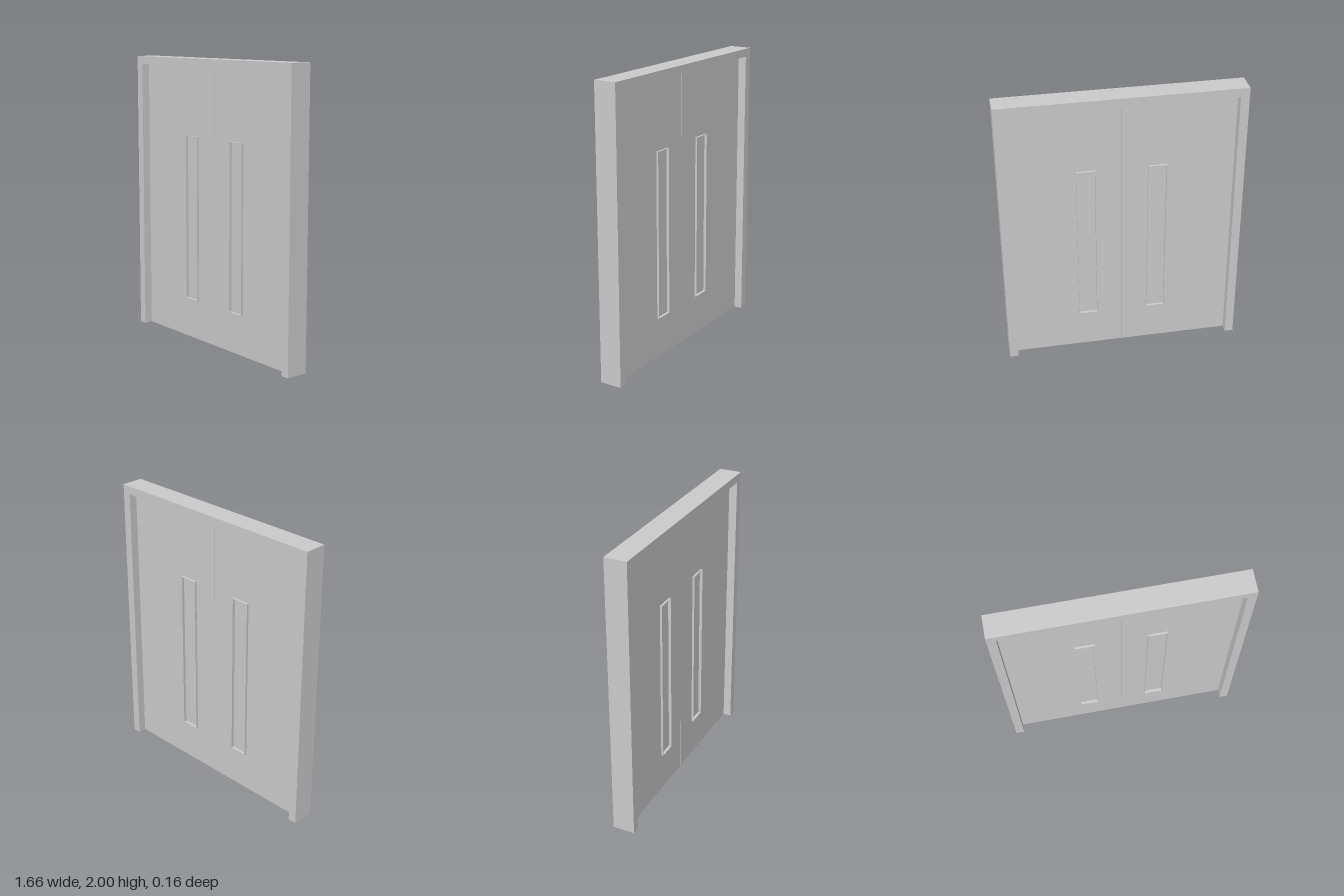
import * as THREE from 'three';

const material = new THREE.MeshStandardMaterial({ color: 0xcccccc, flatShading: true });

// Rectangular path from corner to corner
function rect(PathType, x0, y0, x1, y1) {
  const p = new PathType();
  p.moveTo(x0, y0);
  p.lineTo(x1, y0);
  p.lineTo(x1, y1);
  p.lineTo(x0, y1);
  p.closePath();
  return p;
}

// Flat shape extruded symmetrically about z = 0
function slab(name, shape, depth) {
  const geometry = new THREE.ExtrudeGeometry(shape, { depth, bevelEnabled: false });
  geometry.translate(0, 0, -depth / 2);
  const mesh = new THREE.Mesh(geometry, material);
  mesh.name = name;
  return mesh;
}

export function createModel() {
  const group = new THREE.Group();
  group.name = 'doubleDoor';

  // Frame: two jambs and a lintel, open at the floor
  const frame = new THREE.Shape();
  [[-0.83, 0], [-0.77, 0], [-0.77, 1.943], [0.77, 1.943], [0.77, 0], [0.83, 0], [0.83, 2], [-0.83, 2]]
    .forEach(([x, y], i) => (i ? frame.lineTo(x, y) : frame.moveTo(x, y)));
  frame.closePath();
  group.add(slab('doorFrame', frame, 0.156));

  // Window extents within a leaf
  const wx0 = 0.177, wx1 = 0.309, wy0 = 0.285, wy1 = 1.46, wall = 0.004;

  for (const side of [1, -1]) {
    const leafGroup = new THREE.Group();
    leafGroup.name = side > 0 ? 'leftLeaf' : 'rightLeaf';
    const span = (Type, x0, y0, x1, y1) =>
      side > 0 ? rect(Type, x0, y0, x1, y1) : rect(Type, -x1, y0, -x0, y1);

    // Leaf with a tall narrow window, and a hairline gap at the centre
    const leaf = span(THREE.Shape, 0.0015, 0.002, 0.77, 1.943);
    leaf.holes.push(span(THREE.Path, wx0, wy0, wx1, wy1));
    leafGroup.add(slab('leafPanel', leaf, 0.04));

    // Thin trim standing proud of both faces
    const trim = span(THREE.Shape, wx0, wy0, wx1, wy1);
    trim.holes.push(span(THREE.Path, wx0 + wall, wy0 + wall, wx1 - wall, wy1 - wall));
    leafGroup.add(slab('windowTrim', trim, 0.07));

    // Pane
    leafGroup.add(slab('windowPane', span(THREE.Shape, wx0 + wall, wy0 + wall, wx1 - wall, wy1 - wall), 0.03));
    group.add(leafGroup);
  }
  return group;
}
